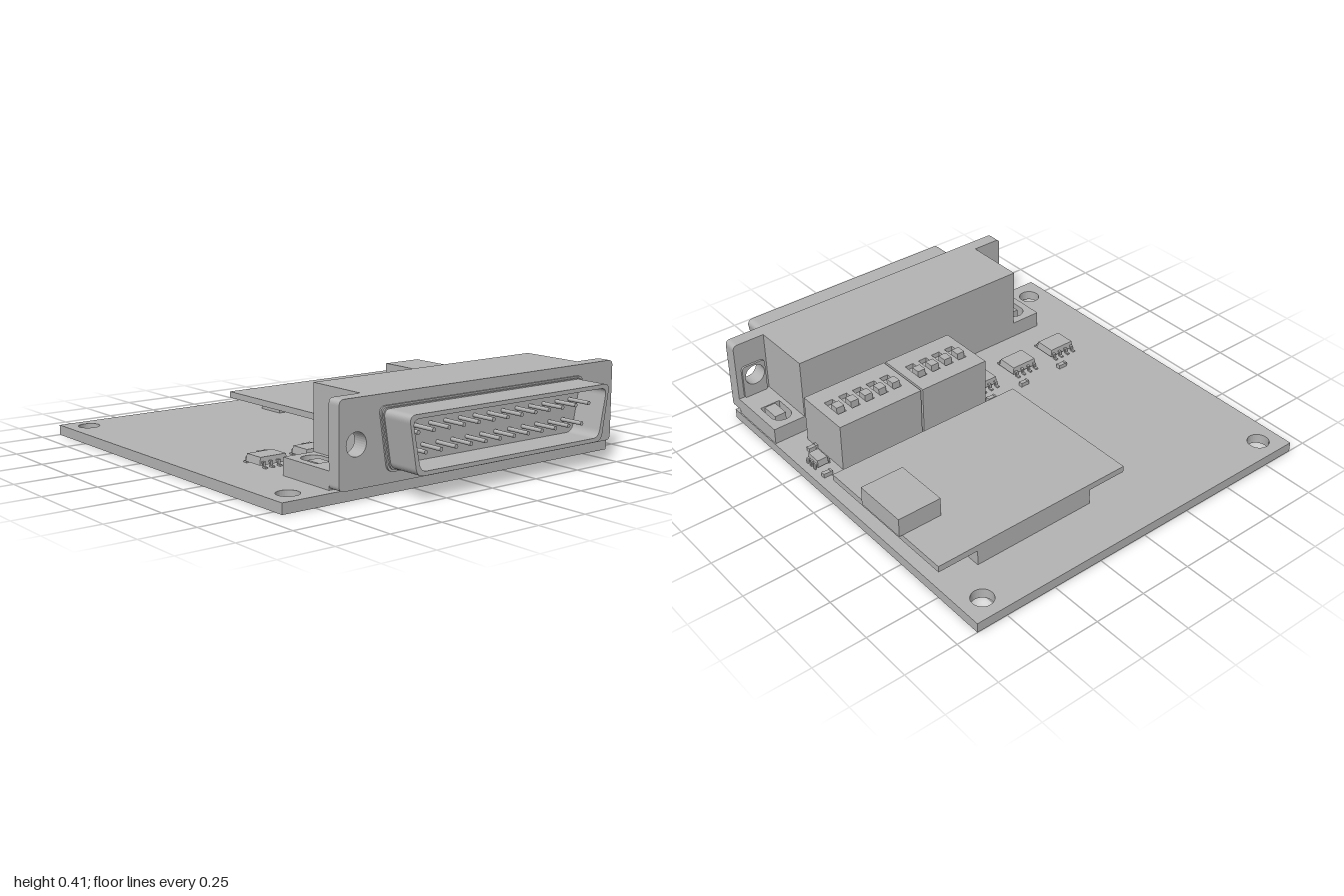
import * as THREE from 'three';

const BOARD_TOP = 0.047;
const grey = new THREE.MeshStandardMaterial({ color: 0xb4b4b4 });
grey.name = 'plain grey';

function add(parent, name, geometry) {
  const mesh = new THREE.Mesh(geometry, grey);
  mesh.name = name;
  parent.add(mesh);
  return mesh;
}

function group(parent, name) {
  const g = new THREE.Group();
  g.name = name;
  parent.add(g);
  return g;
}

// Box given by its limits
function box(parent, name, x0, x1, y0, y1, z0, z1) {
  const g = new THREE.BoxGeometry(x1 - x0, y1 - y0, z1 - z0);
  g.translate((x0 + x1) / 2, (y0 + y1) / 2, (z0 + z1) / 2);
  return add(parent, name, g);
}

// Closed outline with rounded corners
function rounded(points, r, Type = THREE.Shape) {
  const s = new Type();
  const pts = points.map(p => new THREE.Vector2(...p));
  pts.forEach((p, i) => {
    const prev = pts[(i + pts.length - 1) % pts.length];
    const next = pts[(i + 1) % pts.length];
    const a = p.clone().add(prev.clone().sub(p).setLength(r));
    const b = p.clone().add(next.clone().sub(p).setLength(r));
    if (i === 0) s.moveTo(a.x, a.y); else s.lineTo(a.x, a.y);
    s.quadraticCurveTo(p.x, p.y, b.x, b.y);
  });
  s.closePath();
  return s;
}

function rect(x0, x1, y0, y1) {
  return [[x0, y0], [x1, y0], [x1, y1], [x0, y1]];
}

function circle(x, y, r) {
  return new THREE.Path().absarc(x, y, r, 0, Math.PI * 2, true);
}

// Extrude a front-facing shape along z
function frontSlab(parent, name, shape, z0, z1) {
  const g = new THREE.ExtrudeGeometry(shape, { depth: z1 - z0, bevelEnabled: false, curveSegments: 16 });
  return add(parent, name, g.translate(0, 0, z0));
}

// Extrude a plan shape (drawn with y = -z) upwards
function planSlab(parent, name, shape, y0, y1) {
  const g = new THREE.ExtrudeGeometry(shape, { depth: y1 - y0, bevelEnabled: false, curveSegments: 16 });
  return add(parent, name, g.rotateX(-Math.PI / 2).translate(0, y0, 0));
}

// Trapezoidal connector outline, grown by o
function dOutline(o, Type) {
  return rounded([[-0.405 - o, 0.107 - o], [0.645 + o, 0.107 - o],
    [0.687 + o, 0.355 + o], [-0.447 - o, 0.355 + o]], 0.035, Type);
}

function buildConnector(root) {
  const g = group(root, 'connector');
  const holes = [-0.57, 0.805];

  const flange = rounded(rect(-0.655, 0.895, 0.05, 0.415), 0.025);
  holes.forEach(x => flange.holes.push(circle(x, 0.23, 0.05)));
  frontSlab(g, 'flange', flange, 0.765, 0.83);
  box(g, 'connectorBody', -0.5, 0.735, BOARD_TOP, 0.415, 0.462, 0.766);

  // Mounting feet with arched slots and metal straps
  [[-0.655, -0.5, -0.57], [0.735, 0.895, 0.808]].forEach(([x0, x1, c]) => {
    const foot = new THREE.Shape(rect(x0, x1, -0.766, -0.462).map(p => new THREE.Vector2(...p)));
    const slot = new THREE.Path();
    slot.moveTo(c - 0.05, -0.64);
    slot.lineTo(c + 0.05, -0.64);
    slot.lineTo(c + 0.05, -0.55);
    slot.absarc(c, -0.55, 0.05, 0, Math.PI, false);
    slot.closePath();
    foot.holes.push(slot);
    planSlab(g, 'mountingFoot', foot, BOARD_TOP, 0.125);
    box(g, 'footTongue', c - 0.028, c + 0.028, BOARD_TOP, 0.12, 0.55, 0.66);
    const strap = rounded(rect(c - 0.06, c + 0.06, 0.12, 0.29), 0.02);
    strap.holes.push(circle(c < 0 ? holes[0] : holes[1], 0.23, 0.05));
    frontSlab(g, 'footStrap', strap, 0.755, 0.766);
  });

  // Shell with a stepped flare at its base
  [[0.012, 0.83, 0.838], [0.005, 0.838, 0.846], [0, 0.846, 1]].forEach(([o, z0, z1]) => {
    const shell = dOutline(o);
    shell.holes.push(dOutline(-0.018, THREE.Path));
    frontSlab(g, 'connectorShell', shell, z0, z1);
  });
  frontSlab(g, 'connectorFloor', dOutline(-0.015), 0.825, 0.845);

  // Two rows of pins
  [[13, -0.365, 0.272], [12, -0.325, 0.188]].forEach(([n, x0, y]) => {
    for (let i = 0; i < n; i++) {
      const pin = new THREE.CylinderGeometry(0.009, 0.009, 0.12, 12).rotateX(Math.PI / 2);
      add(g, 'pin', pin.translate(x0 + i * 0.0808, y, 0.9));
    }
  });
}

// Switch block with recessed slots and sliders
function buildSwitches(root, x0, x1, first, count) {
  const g = group(root, 'switchBlock');
  box(g, 'switchBody', x0, x1, BOARD_TOP, 0.255, 0.115, 0.4);
  const top = new THREE.Shape(rect(x0, x1, -0.4, -0.115).map(p => new THREE.Vector2(...p)));
  for (let i = 0; i < count; i++) {
    const x = first + i * 0.075;
    top.holes.push(new THREE.Path(rect(x - 0.022, x + 0.022, -0.31, -0.2).map(p => new THREE.Vector2(...p))));
    box(g, 'slider', x - 0.02, x + 0.02, 0.255, 0.302, 0.213, 0.257);
  }
  planSlab(g, 'switchTop', top, 0.255, 0.278);
}

// Chip with bent leads on its two long sides
function buildChip(root, x, z, w, d, reach, front, back) {
  const g = group(root, 'chip');
  const body = new THREE.BoxGeometry(w, 0.034, d);
  const p = body.attributes.position;
  for (let i = 0; i < p.count; i++) {
    if (p.getY(i) > 0) p.setXYZ(i, p.getX(i) * 0.93, p.getY(i), p.getZ(i) * 0.92);
  }
  body.computeVertexNormals();
  add(g, 'chipBody', body.translate(x, 0.074, z));
  [[1, front], [-1, back]].forEach(([s, offsets]) => offsets.forEach(o => {
    const z0 = z + s * (d / 2 - 0.005), z1 = z + s * (d / 2 + 0.012), z2 = z + s * reach;
    const lead = (y0, y1, a, b) => box(g, 'chipLead', x + o - 0.006, x + o + 0.006, y0, y1, Math.min(a, b), Math.max(a, b));
    lead(0.066, 0.073, z0, z1);
    lead(BOARD_TOP, 0.073, z1 - s * 0.007, z1);
    lead(BOARD_TOP, 0.054, z1, z2);
  }));
}

export function createModel() {
  const root = new THREE.Group();
  root.name = 'circuitBoardAssembly';

  // Main board with three mounting holes
  const board = new THREE.Shape(rect(-0.908, 0.9, -0.805, 1).map(p => new THREE.Vector2(...p)));
  [[-0.805, 0.9], [0.795, 0.9], [-0.805, -0.7]].forEach(([x, y]) => board.holes.push(circle(x, y, 0.05)));
  planSlab(root, 'mainBoard', board, 0, BOARD_TOP);

  buildConnector(root);
  buildSwitches(root, -0.04, 0.32, 0.027, 4);
  buildSwitches(root, 0.33, 0.765, 0.395, 5);

  // Raised module on two headers, with a socket on top
  const module = group(root, 'raisedModule');
  box(module, 'moduleBoard', -0.11, 0.89, 0.125, 0.155, -0.743, 0);
  box(module, 'rearHeader', 0.08, 0.69, BOARD_TOP, 0.125, -0.74, -0.59);
  box(module, 'frontHeader', 0.08, 0.69, BOARD_TOP, 0.125, -0.14, -0.002);
  box(module, 'socket', 0.693, 0.905, 0.155, 0.245, -0.503, -0.24);

  // Chips
  const four = [-0.056, -0.019, 0.019, 0.056];
  [-0.585, -0.345, -0.103].forEach(x => buildChip(root, x, 0.245, 0.14, 0.106, 0.08, four, four));
  const small = group(root, 'smallChip');
  buildChip(small, 0, 0, 0.08, 0.055, 0.04, [-0.028, 0, 0.028], [-0.028, 0.028]);
  small.rotation.y = Math.PI / 2;
  small.position.set(0.822, 0, 0.226);

  // Small components with end caps
  [[-0.51, 0.108], [-0.27, 0.108], [-0.07, 0.108], [0.84, 0.128], [0.79, 0.322]].forEach(([x, z]) => {
    box(root, 'smallComponent', x - 0.014, x + 0.014, BOARD_TOP, 0.066, z - 0.01, z + 0.01);
    [-1, 1].forEach(s => box(root, 'componentCap', x + s * 0.018 - 0.005, x + s * 0.018 + 0.005,
      BOARD_TOP, 0.068, z - 0.011, z + 0.011));
  });

  return root;
}
